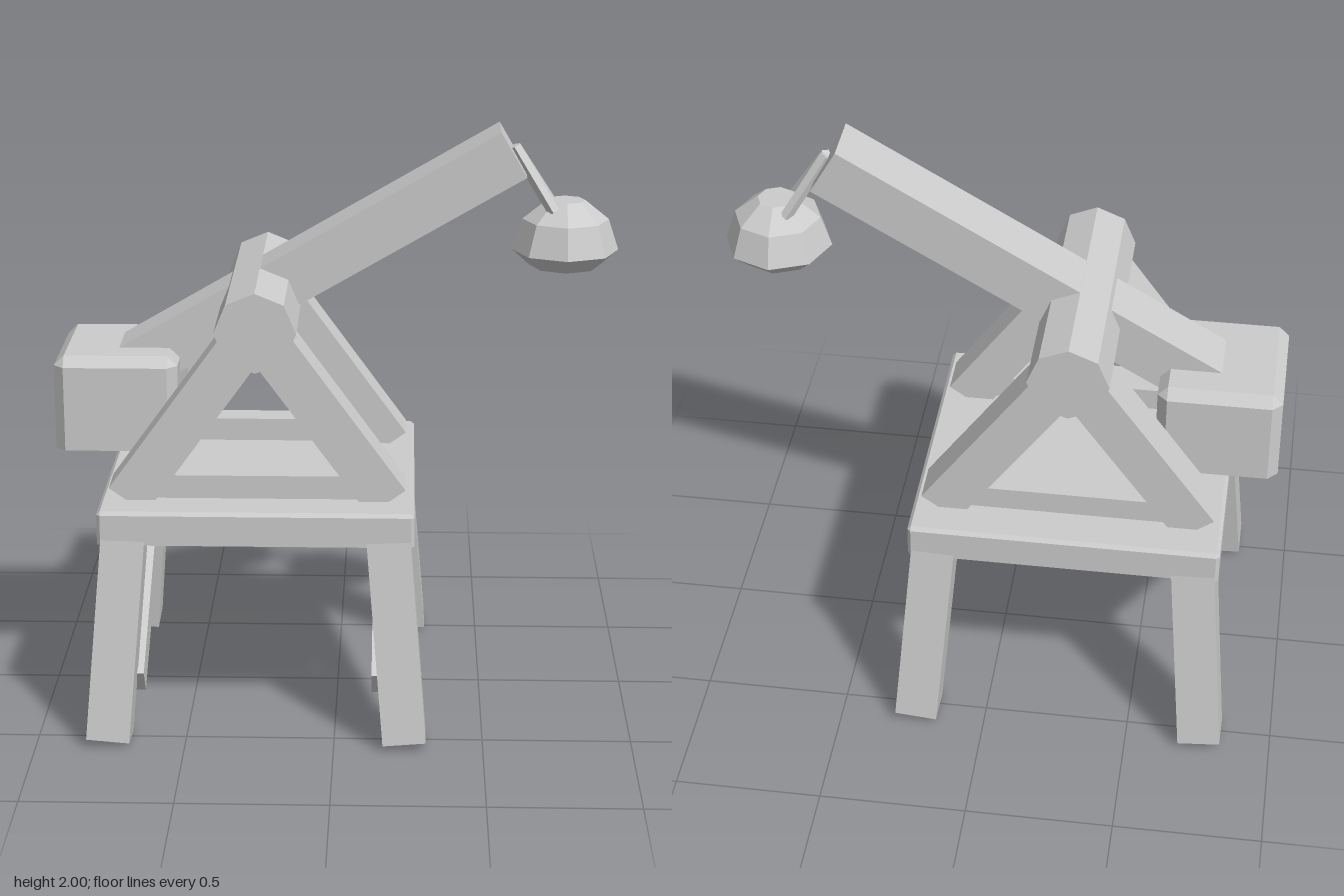
import * as THREE from 'three';
import { ConvexGeometry } from 'three/addons/geometries/ConvexGeometry.js';

const CX = -0.26; // centre line of the stand

export function createModel() {
  const model = new THREE.Group();
  const grey = new THREE.MeshStandardMaterial({ color: 0xcccccc });
  grey.name = 'plainGrey';
  grey.flatShading = true;

  const add = (name, geometry) => {
    const mesh = new THREE.Mesh(geometry, grey);
    mesh.name = name;
    model.add(mesh);
    return mesh;
  };

  // Straight timber between two points, w across x and d across z
  const beam = (name, a, b, w, d) => {
    const from = new THREE.Vector3(...a), to = new THREE.Vector3(...b);
    const dir = to.clone().sub(from);
    const mesh = add(name, new THREE.BoxGeometry(w, dir.length(), d));
    mesh.position.copy(from).add(to).multiplyScalar(0.5);
    mesh.quaternion.setFromUnitVectors(new THREE.Vector3(0, 1, 0), dir.normalize());
  };

  // Block with chamfered upright corners and top rim, flat underneath
  const chamferedBlock = (name, x, y0, y1, hx, hz, c) => {
    const points = [];
    for (const sx of [-1, 1]) for (const sz of [-1, 1]) {
      const put = (px, y, pz) => points.push(new THREE.Vector3(x + sx * px, y, sz * pz));
      for (const y of [y0, y1 - c]) {
        put(hx, y, hz - c);
        put(hx - c, y, hz);
      }
      put(hx - c, y1, hz - c);
    }
    add(name, new ConvexGeometry(points));
  };

  // Stand
  chamferedBlock('platform', CX, 0.695, 0.81, 0.525, 0.51, 0.012);
  for (const sx of [-1, 1]) {
    for (const sz of [-1, 1]) {
      beam('leg', [CX + sx * 0.497, 0.017, sz * 0.528], [CX + sx * 0.437, 0.74, sz * 0.433], 0.145, 0.145);
    }
    beam('legBrace', [CX + sx * 0.435, 0.172, 0.432], [CX + sx * 0.435, 0.72, -0.4], 0.1, 0.1);
  }

  // Two triangular side frames carrying the axle
  for (const sz of [-1, 1]) {
    const z = sz * 0.31;
    for (const sx of [-1, 1]) {
      beam('frameStrut', [CX + sx * 0.434, 0.807, z], [CX + sx * 0.063, 1.32, z], 0.15, 0.148);
    }
    beam('frameBase', [CX - 0.43, 0.845, z], [CX + 0.43, 0.845, z], 0.09, 0.1);
  }
  const axle = add('axle', new THREE.CylinderGeometry(0.135, 0.135, 0.85, 8));
  axle.rotation.x = Math.PI / 2;
  axle.position.set(CX, 1.4, 0);

  // Throwing arm and counterweight
  beam('throwingArm', [-0.73, 1.16, 0], [0.585, 1.925, 0], 0.175, 0.19);
  chamferedBlock('counterweight', -0.743, 0.93, 1.255, 0.208, 0.23, 0.034);

  // Hanging load on two thin rods
  for (const sz of [-1, 1]) {
    beam('slingRod', [0.59, 1.935, sz * 0.006], [0.722, 1.725, sz * 0.07], 0.028, 0.028);
  }
  const profile = [[0, 1.53], [0.118, 1.53], [0.18, 1.585], [0.145, 1.69], [0.064, 1.755], [0, 1.755]];
  const load = add('hangingLoad', new THREE.LatheGeometry(profile.map(p => new THREE.Vector2(...p)), 8));
  load.position.x = 0.765;

  return model;
}
